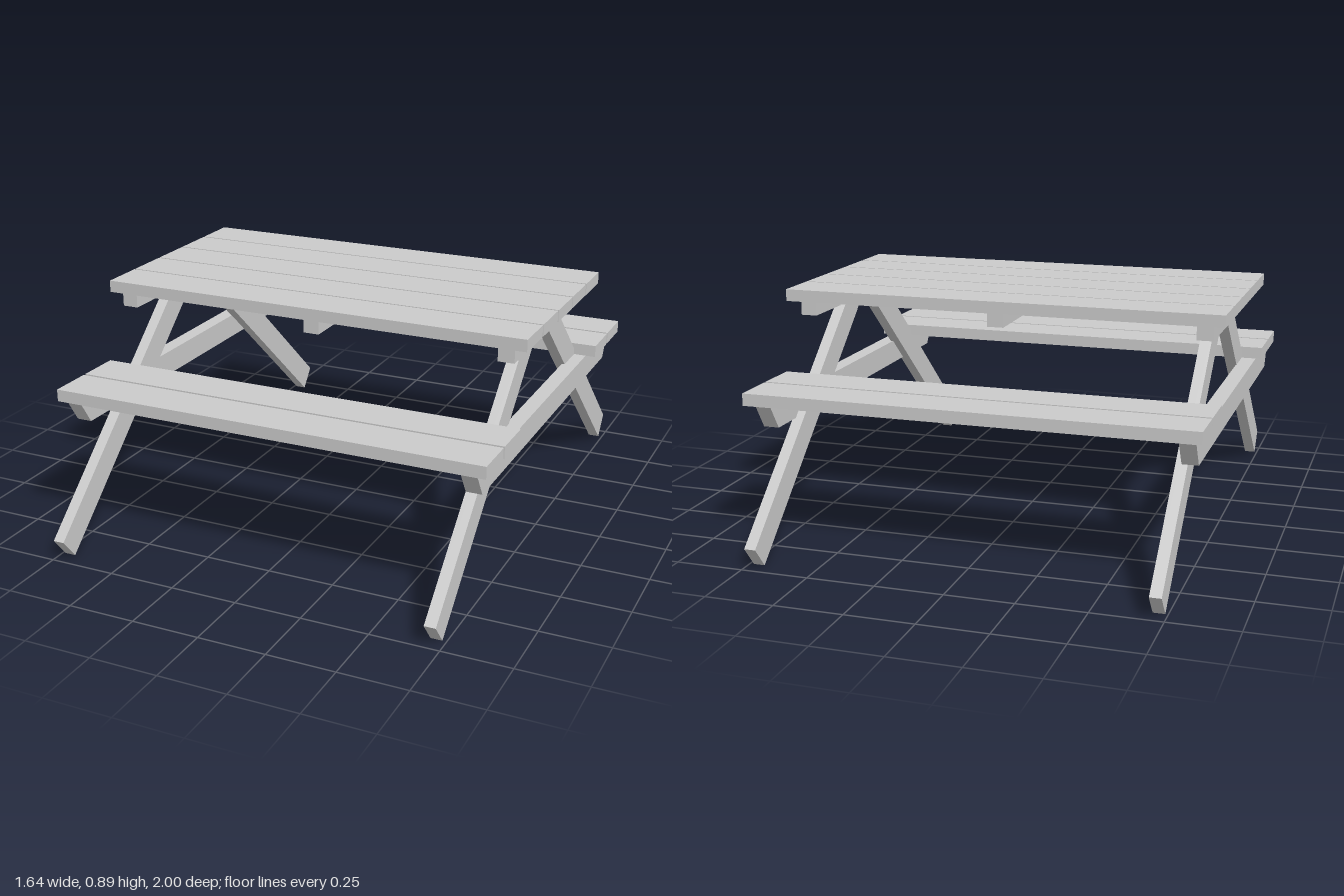
import * as THREE from 'three';

export function createModel() {
  const model = new THREE.Group();
  const wood = new THREE.MeshStandardMaterial({ color: 0xcccccc, flatShading: true });

  const add = (name, geometry, x, y, z) => {
    const mesh = new THREE.Mesh(geometry, wood);
    mesh.name = name;
    mesh.position.set(x, y, z);
    model.add(mesh);
  };
  const box = (name, w, h, d, x, y, z) => add(name, new THREE.BoxGeometry(w, h, d), x, y, z);

  // Board with a [z, y] outline, centred on x
  const board = (name, outline, thickness, x) => {
    const shape = new THREE.Shape(outline.map(([z, y]) => new THREE.Vector2(z, y)));
    const geometry = new THREE.ExtrudeGeometry(shape, { depth: thickness, bevelEnabled: false });
    geometry.translate(0, 0, -thickness / 2).rotateY(-Math.PI / 2);
    add(name, geometry, x, 0, 0);
  };

  // Table top planks
  for (let i = -2; i <= 2; i++) {
    box('tabletopPlank', 1.64, 0.044, 0.168, 0, 0.866, i * 0.1755 - 0.003);
  }

  // Two bench planks on each side
  for (const side of [-1, 1]) {
    for (const z of [0.545, 0.722]) {
      box('benchPlank', 1.64, 0.045, 0.166, 0, 0.558, side * z);
    }
  }

  // Battens under the table top
  for (const x of [-0.747, 0.011, 0.742]) {
    box('tabletopBatten', 0.06, 0.054, 0.826, x, 0.817, 0);
  }

  // Cross beams carrying the benches, with slanted ends
  const beam = [[-0.785, 0.535], [-0.726, 0.442], [0.726, 0.442], [0.785, 0.535]];
  for (const x of [-0.767, 0.753]) board('benchBeam', beam, 0.058, x);

  // Splayed legs, trimmed where they meet the table top
  const leg = [[0.937, 0], [1, 0.078], [0.14, 0.844], [0.05, 0.844], [0.032, 0.82], [0.09, 0.751]];
  for (const x of [-0.719, 0.714]) {
    for (const side of [-1, 1]) {
      board('leg', leg.map(([z, y]) => [side * z, y]), 0.042, x);
    }
  }

  return model;
}
